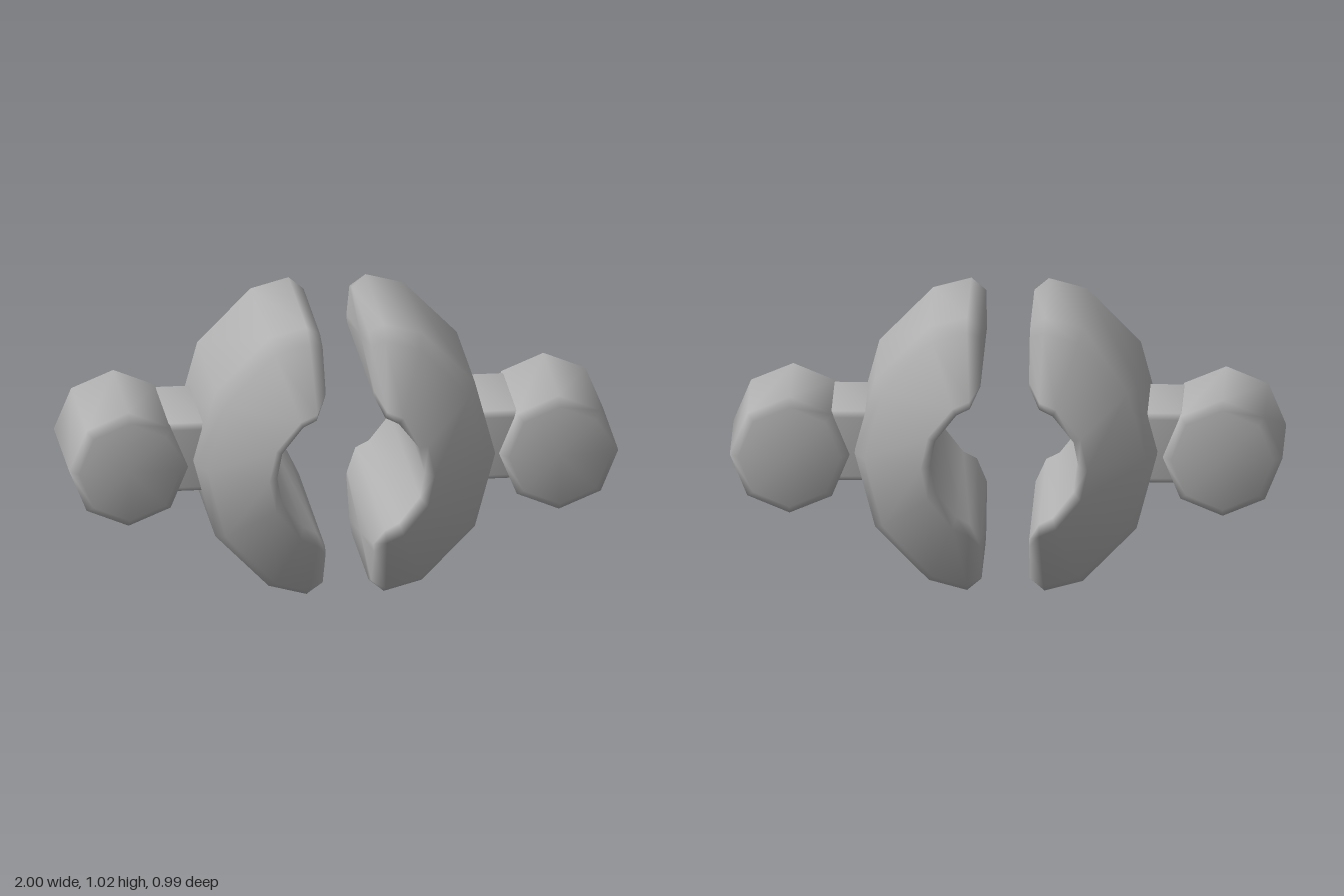
import * as THREE from 'three';

// Skin a list of equal-length loops and close both ends; shared vertices give soft bevels.
function loft(sections) {
  const n = sections[0].length, pos = [], idx = [];
  sections.forEach((s) => s.forEach((p) => pos.push(...p)));
  for (let i = 0; i < sections.length - 1; i++) {
    for (let j = 0; j < n; j++) {
      const k = (j + 1) % n;
      const a = i * n + j, b = i * n + k, c = b + n, d = a + n;
      idx.push(a, b, c, a, c, d);
    }
  }
  const cap = (i, last) => {
    const centre = pos.length / 3;
    for (let axis = 0; axis < 3; axis++) {
      pos.push(sections[i].reduce((sum, p) => sum + p[axis], 0) / n);
    }
    for (let j = 0; j < n; j++) {
      const a = i * n + j, b = i * n + (j + 1) % n;
      idx.push(centre, last ? a : b, last ? b : a);
    }
  };
  cap(0, false);
  cap(sections.length - 1, true);
  const g = new THREE.BufferGeometry();
  g.setAttribute('position', new THREE.Float32BufferAttribute(pos, 3));
  g.setIndex(idx);
  g.computeVertexNormals();
  return g;
}

// Half ring: each station has an inner and outer point (x, height above centre).
function shellGeometry() {
  const cy = 0.512;
  const half = [
    { inn: [0.268, 0], out: [0.546, 0] },
    { inn: [0.25, 0.093], out: [0.472, 0.275] },
    { inn: [0.174, 0.19], out: [0.278, 0.473] },
    { inn: [0.125, 0.215], out: [0.14, 0.51] },
    { inn: [0.088, 0.285], out: [0.088, 0.473], end: true },
  ];
  const section = ({ inn, out, end }, sy) => {
    const ts = [0, 0.12, 0.87, 1];
    const zs = end ? [0.4, 0.42, 0.33, 0.25] : [0.455, 0.495, 0.357, 0.275];
    const at = (k, sz) => [
      THREE.MathUtils.lerp(inn[0], out[0], ts[k]),
      cy + sy * THREE.MathUtils.lerp(inn[1], out[1], ts[k]),
      sz * zs[k],
    ];
    return [0, 1, 2, 3].map((k) => at(k, 1)).concat([3, 2, 1, 0].map((k) => at(k, -1)));
  };
  return loft([
    ...half.slice(1).reverse().map((s) => section(s, -1)),
    ...half.map((s) => section(s, 1)),
  ]);
}

// Eight-sided bar along z with bevelled ends.
function handleGeometry() {
  const rings = [[0.185, -0.272], [0.216, -0.235], [0.216, 0.235], [0.185, 0.272]];
  return loft(rings.map(([r, z]) => Array.from({ length: 8 }, (_, i) => {
    const a = (i * Math.PI) / 4;
    return [r * Math.cos(a), r * Math.sin(a), z];
  })));
}

// Chamfered block along x joining shell and handle.
function connectorGeometry() {
  const c = 0.02;
  const ring = (x, inset) => {
    const h = 0.129 - inset, w = 0.222 - inset;
    return [
      [h, -w + c], [h, w - c], [h - c, w], [-h + c, w],
      [-h, w - c], [-h, -w + c], [-h + c, -w], [h - c, -w],
    ].map(([y, z]) => [x, y, z]);
  };
  return loft([ring(0.46, c), ring(0.48, 0), ring(0.63, 0), ring(0.65, c)]);
}

export function createModel() {
  const grey = new THREE.MeshStandardMaterial({ color: 0xb0b0b0 });
  grey.name = 'plain grey';
  const parts = [
    ['shell', shellGeometry(), 0, 0],
    ['connector', connectorGeometry(), 0, 0.519],
    ['handle', handleGeometry(), 0.782, 0.492],
  ];

  const model = new THREE.Group();
  model.name = 'splitClamp';
  // The two halves are the same, turned about the vertical axis.
  ['left', 'right'].forEach((side, i) => {
    const half = new THREE.Group();
    half.name = side + 'Half';
    half.rotation.y = i * Math.PI;
    for (const [name, geometry, x, y] of parts) {
      const mesh = new THREE.Mesh(geometry, grey);
      mesh.name = name;
      mesh.position.set(x, y, 0);
      half.add(mesh);
    }
    model.add(half);
  });
  return model;
}
